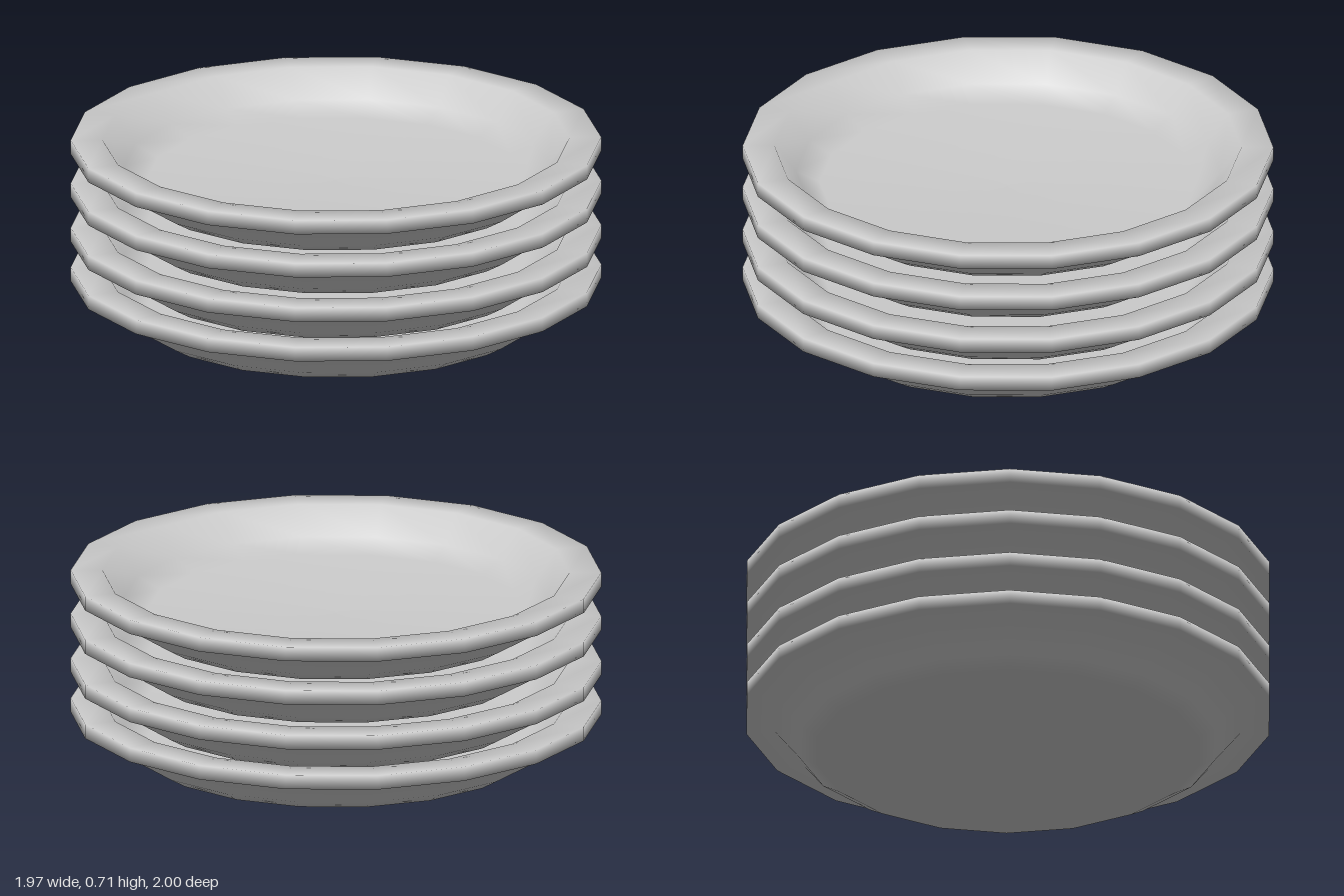
import * as THREE from 'three';

// Half cross-section of one plate, from the underside centre round the rim to the floor centre
const PROFILE = [
  [0, 0.004], [0.73, 0], [0.8, 0.04], [0.89, 0.15],   // underside and flared wall
  [1, 0.15], [1, 0.205], [0.88, 0.205],               // rim
  [0.8, 0.1], [0.71, 0.055], [0, 0.045],              // inner wall and floor
].map(([r, y]) => new THREE.Vector2(r, y));

// Height of each plate in the stack
const HEIGHTS = [0, 0.157, 0.333, 0.504];
const SIDES = 18;

export function createModel() {
  const group = new THREE.Group();
  group.name = 'plateStack';
  const material = new THREE.MeshStandardMaterial({ color: 0xcccccc });
  const geometry = new THREE.LatheGeometry(PROFILE, SIDES);

  HEIGHTS.forEach((y, i) => {
    const plate = new THREE.Mesh(geometry, material);
    plate.name = `plate${i + 1}`;
    plate.position.y = y;
    group.add(plate);
  });
  return group;
}
